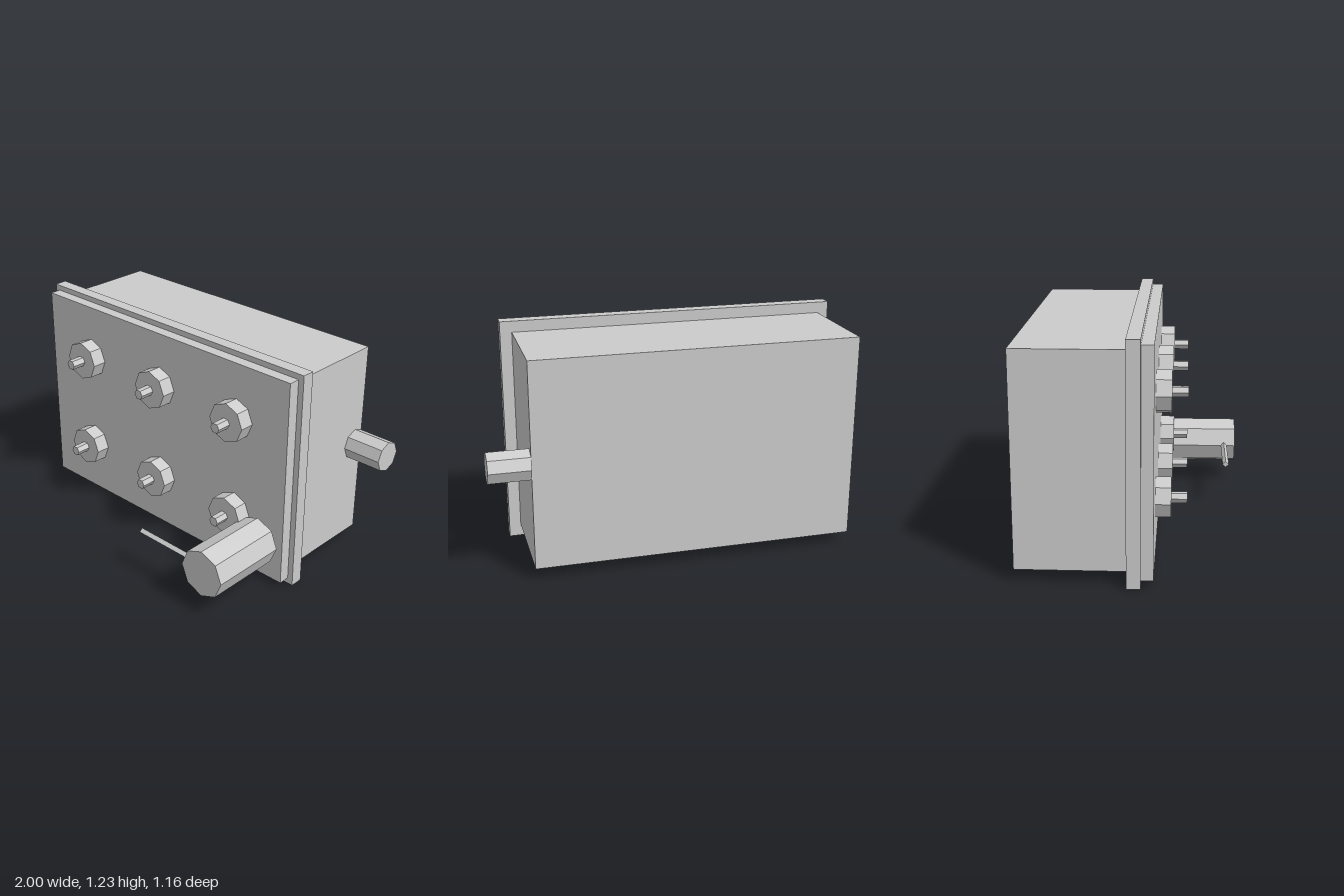
import * as THREE from 'three';

const grey = new THREE.MeshStandardMaterial({ color: 0xcccccc, flatShading: true });

function add(parent, name, geometry, x, y, z) {
  const mesh = new THREE.Mesh(geometry, grey);
  mesh.name = name;
  mesh.position.set(x, y, z);
  parent.add(mesh);
  return mesh;
}

// Box given by its extents on each axis
function slab(parent, name, [x0, x1], [y0, y1], [z0, z1]) {
  add(parent, name, new THREE.BoxGeometry(x1 - x0, y1 - y0, z1 - z0),
    (x0 + x1) / 2, (y0 + y1) / 2, (z0 + z1) / 2);
}

// Faceted prism running along z or x, turned by spin about its own axis
function prism(axis, radius, length, sides, spin = 0) {
  const g = new THREE.CylinderGeometry(radius, radius, length, sides).rotateY(spin);
  return axis === 'z' ? g.rotateX(Math.PI / 2) : g.rotateZ(Math.PI / 2);
}

export function createModel() {
  const model = new THREE.Group();
  model.name = 'controlBox';

  // Housing, flange and front cover
  slab(model, 'housing', [-0.94, 0.783], [0.065, 1.17], [-0.555, 0]);
  slab(model, 'flange', [-1, 0.845], [0, 1.23], [0, 0.07]);
  slab(model, 'frontCover', [-0.97, 0.813], [0.032, 1.2], [0.07, 0.132]);

  // Two rows of three bosses, each with a hexagonal pin
  for (const y of [0.34, 0.895]) {
    for (const x of [-0.633, -0.08, 0.474]) {
      const knob = new THREE.Group();
      knob.name = 'knob';
      knob.position.set(x, y, 0.132);
      add(knob, 'boss', prism('z', 0.11, 0.08, 8), 0, 0, 0.04);
      add(knob, 'pin', prism('z', 0.029, 0.08, 6, Math.PI / 2), 0, 0, 0.12);
      model.add(knob);
    }
  }

  // Large front drum with a thin rod reaching out of its side
  add(model, 'drum', prism('z', 0.134, 0.43, 8), 0.66, 0.248, 0.368);
  add(model, 'rod', prism('x', 0.018, 0.375, 4), 0.3525, 0.249, 0.517);

  // Shaft stub on the left side, near the back
  add(model, 'sideShaft', prism('x', 0.085, 0.217, 8), 0.8915, 0.618, -0.496);

  return model;
}
